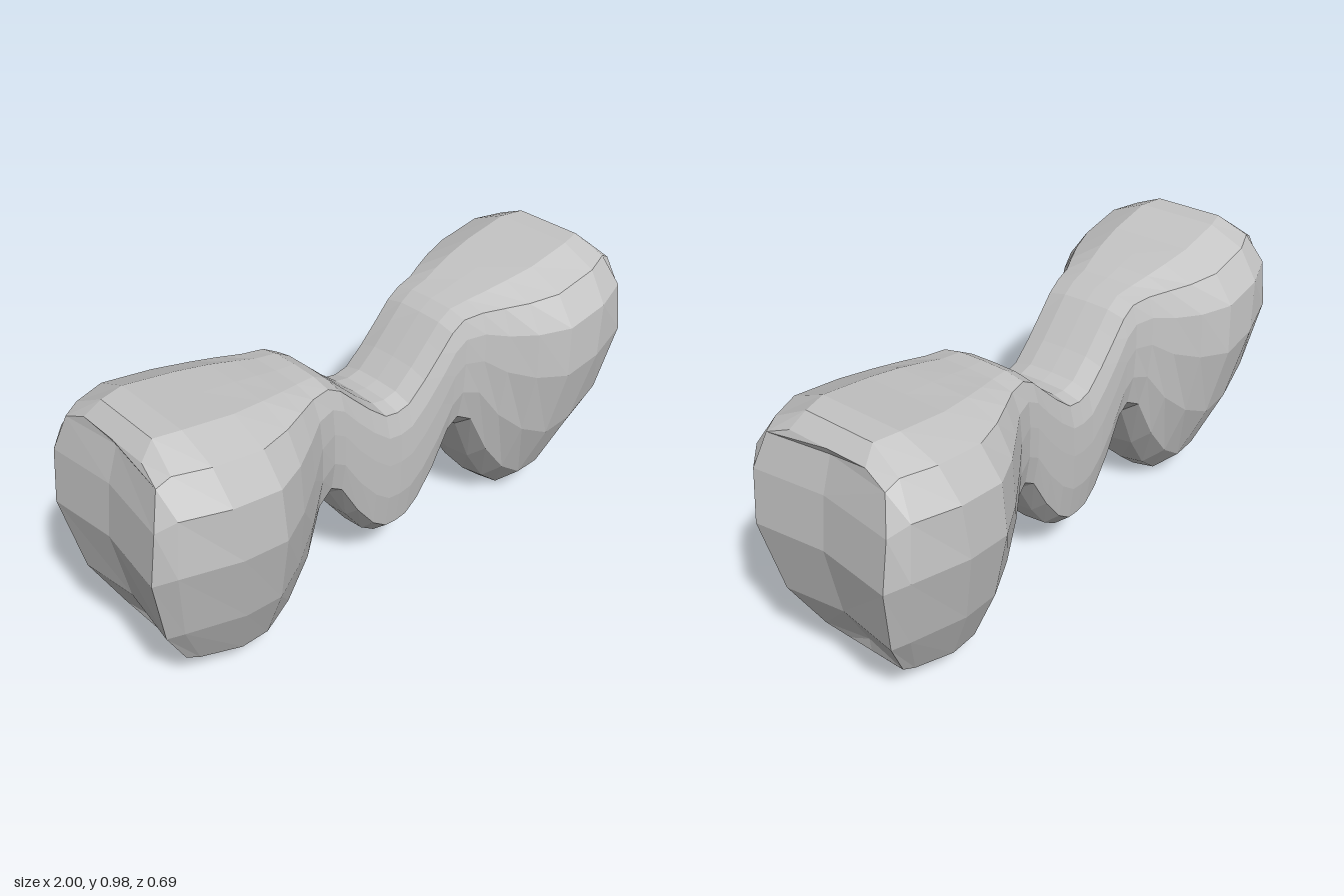
import * as THREE from 'three';

// Stations from the middle outwards: x at top, middle and bottom; top y, bottom y; half depth; profile blend
const STATIONS = [
  [0, 0, 0, 0.68, 0.14, 0.172, 0],
  [0.05, 0.05, 0.045, 0.69, 0.145, 0.172, 0],
  [0.12, 0.11, 0.1, 0.75, 0.185, 0.172, 0],
  [0.19, 0.18, 0.17, 0.82, 0.285, 0.172, 0],
  [0.24, 0.24, 0.24, 0.87, 0.42, 0.172, 0],
  [0.29, 0.285, 0.285, 0.9, 0.45, 0.174, 0],
  [0.36, 0.35, 0.34, 0.908, 0.41, 0.195, 0.15],
  [0.43, 0.42, 0.41, 0.922, 0.23, 0.24, 0.4],
  [0.51, 0.51, 0.5, 0.936, 0.085, 0.295, 0.75],
  [0.62, 0.61, 0.59, 0.952, 0.003, 0.347, 1],
  [0.79, 0.75, 0.67, 0.982, 0, 0.347, 1],
  [0.87, 0.945, 0.76, 0.983, 0.04, 0.298, 1],
  [0.92, 1, 0.85, 0.94, 0.145, 0.25, 2],
];

// Half cross-sections, top to bottom: [height fraction, depth fraction]
const PROFILES = [
  [[1, 0], [0.995, 0.5], [0.963, 0.87], [0.82, 0.98], [0.62, 1], [0.37, 0.98], [0.13, 0.87], [0.02, 0.5], [0, 0]],
  [[1, 0], [1, 0.41], [0.945, 0.77], [0.84, 0.97], [0.65, 1], [0.37, 0.83], [0.13, 0.55], [0.022, 0.26], [0, 0]],
  [[1, 0], [1, 0.56], [0.96, 0.88], [0.82, 1], [0.6, 0.98], [0.28, 0.84], [0.057, 0.64], [0, 0.36], [0, 0]],
];
const ROWS = 9;
const RING = 16;

function ring([xTop, xMid, xBottom, top, bottom, depth, blend], side) {
  const lower = Math.min(Math.floor(blend), 1);
  const f = blend - lower;
  const half = PROFILES[lower].map(([v0, z0], j) => {
    const [v1, z1] = PROFILES[lower + 1][j];
    const v = v0 + (v1 - v0) * f;
    const z = z0 + (z1 - z0) * f;
    // Columns bow outwards on a parabola
    const x = xBottom * (1 - v) * (1 - 2 * v) + xMid * 4 * v * (1 - v) + xTop * v * (2 * v - 1);
    return new THREE.Vector3(side * x, bottom + (top - bottom) * v, depth * z);
  });
  const back = half.slice(1, -1).reverse().map((p) => new THREE.Vector3(p.x, p.y, -p.z));
  return [...half, ...back];
}

function buildBody() {
  const positions = [];
  const tri = (a, b, c) => {
    const area = b.clone().sub(a).cross(c.clone().sub(a)).length();
    if (area > 1e-7) for (const p of [a, b, c]) positions.push(p.x, p.y, p.z);
  };
  const quad = (a, b, c, d) => {
    tri(a, b, c);
    tri(a, c, d);
  };

  // Skin from one end to the other
  const rings = [
    ...STATIONS.slice(1).reverse().map((s) => ring(s, -1)),
    ...STATIONS.map((s) => ring(s, 1)),
  ];
  for (let i = 0; i < rings.length - 1; i++) {
    for (let j = 0; j < RING; j++) {
      const k = (j + 1) % RING;
      quad(rings[i][j], rings[i][k], rings[i + 1][k], rings[i + 1][j]);
    }
  }

  // Slightly hollow end faces
  for (const side of [-1, 1]) {
    const end = side < 0 ? rings[0] : rings[rings.length - 1];
    const front = end.slice(0, ROWS);
    const back = front.map((p, j) => end[(RING - j) % RING]);
    const middle = front.map((p, j) => {
      const inner = j > 1 && j < ROWS - 2;
      return new THREE.Vector3(p.x - (inner ? side * 0.025 : 0), p.y + (inner ? 0.008 : 0), 0);
    });
    for (let j = 0; j < ROWS - 1; j++) {
      for (const [a, b] of [[middle, front], [back, middle]]) {
        if (side > 0) quad(a[j], b[j], b[j + 1], a[j + 1]);
        else quad(a[j], a[j + 1], b[j + 1], b[j]);
      }
    }
  }

  const geometry = new THREE.BufferGeometry();
  geometry.setAttribute('position', new THREE.Float32BufferAttribute(positions, 3));
  geometry.computeVertexNormals();
  return geometry;
}

export function createModel() {
  const group = new THREE.Group();
  group.name = 'lobedShape';
  const grey = new THREE.MeshStandardMaterial({ color: 0xc4c4c4 });
  grey.name = 'light grey';
  grey.flatShading = true;
  const body = new THREE.Mesh(buildBody(), grey);
  body.name = 'body';
  group.add(body);
  return group;
}
